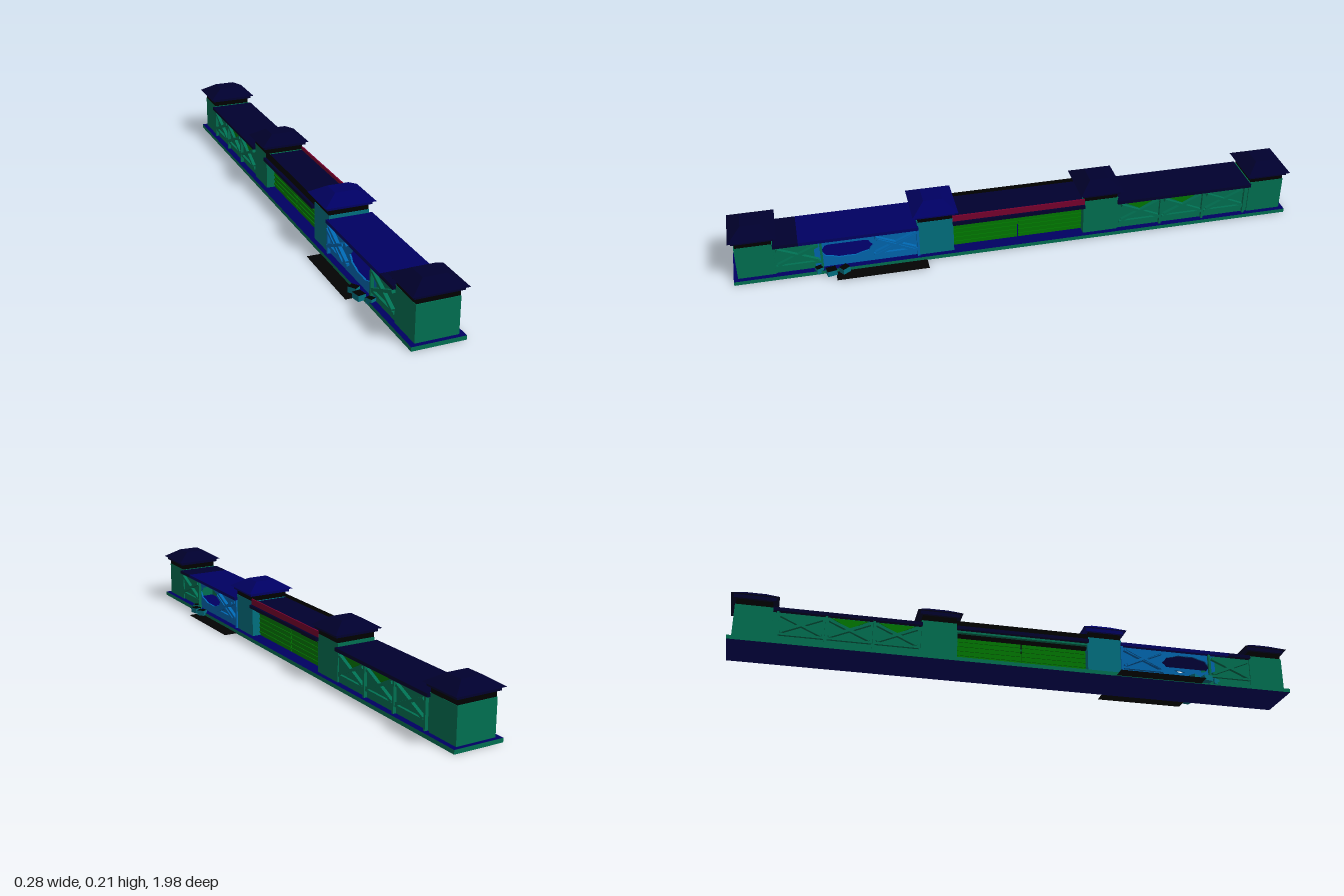
import * as THREE from 'three';

const mat = (name, color) => {
  const m = new THREE.MeshStandardMaterial({ color });
  m.name = name;
  return m;
};

export function createModel() {
  const teal = mat('teal wall', 0x007052);
  const blueWall = mat('blue wall', 0x0066b0);
  const cyan = mat('cyan stone', 0x007080);
  const green = mat('green panel', 0x007800);
  const navy = mat('navy roof', 0x00002e);
  const blue = mat('blue roof', 0x000062);
  const black = mat('black trim', 0x000000);
  const red = mat('red fascia', 0x78002e);
  const scorch = mat('scorched ground', 0x030303);
  scorch.side = THREE.DoubleSide;

  const root = new THREE.Group();
  root.name = 'longBuilding';

  const add = (name, geo, material, parent = root) => {
    const m = new THREE.Mesh(geo, material);
    m.name = name;
    parent.add(m);
    return m;
  };
  // box given by its limits on each axis
  const box = (name, material, x0, x1, y0, y1, z0, z1, parent = root) => {
    const m = add(name, new THREE.BoxGeometry(x1 - x0, y1 - y0, z1 - z0), material, parent);
    m.position.set((x0 + x1) / 2, (y0 + y1) / 2, (z0 + z1) / 2);
    return m;
  };
  // flat outline in (z, y), given thickness towards -x
  const sidePlate = (name, shape, thick, x, material) => {
    const g = new THREE.ExtrudeGeometry(shape, { depth: thick, bevelEnabled: false });
    g.rotateY(-Math.PI / 2);
    add(name, g, material).position.x = x;
  };
  const polygon = (pts) => new THREE.Shape(pts.map(([z, y]) => new THREE.Vector2(z, y)));

  // Base: teal edges, blue top and underside
  box('base', [teal, teal, blue, blue, teal, teal], -0.088, 0.088, 0, 0.014, -0.985, 0.995);

  // Towers with a dark neck, eave slab and hipped roof
  const tower = (z, depth, lift, wall, roof) => {
    const g = new THREE.Group();
    g.name = 'tower';
    g.position.z = z;
    root.add(g);
    const d = depth / 2;
    box('towerWall', wall, -0.071, 0.071, 0.014, 0.137 + lift, -d, d, g);
    box('towerNeck', black, -0.07, 0.07, 0.137 + lift, 0.157 + lift, -d + 0.003, d - 0.003, g);
    box('towerEave', roof, -0.08, 0.08, 0.157 + lift, 0.169 + lift, -d - 0.006, d + 0.006, g);
    const hip = new THREE.CylinderGeometry(0.42 * Math.SQRT2, Math.SQRT2, 1, 4).toNonIndexed();
    hip.rotateY(Math.PI / 4);
    hip.scale(0.09, 0.032, d + 0.016);
    hip.computeVertexNormals();
    add('towerRoof', hip, roof, g).position.y = 0.185 + lift;
  };
  tower(0.917, 0.127, 0, teal, navy);
  tower(0.305, 0.125, 0.01, cyan, blue);
  tower(-0.285, 0.125, 0.01, teal, navy);
  tower(-0.907, 0.127, 0, teal, navy);

  // Roofs of the two wings and the middle
  const longRoof = (material, z0, z1) =>
    box('longRoof', material, -0.082, 0.082, 0.123, 0.135, z0, z1);
  longRoof(navy, -0.845, -0.345);
  longRoof(navy, -0.225, 0.245);
  longRoof(navy, 0.77, 0.855);
  longRoof(blue, 0.365, 0.77);

  // Raised middle roof between a black and a red curb
  box('raisedRoof', navy, -0.068, 0.068, 0.135, 0.145, -0.225, 0.245);
  box('blackCurb', black, -0.072, -0.068, 0.135, 0.157, -0.225, 0.245);
  box('redFascia', red, 0.068, 0.073, 0.135, 0.157, -0.225, 0.245);

  // Wing wall with a ragged breach
  const breached = polygon([[0.37, 0.014], [0.72, 0.014], [0.72, 0.123], [0.37, 0.123]]);
  const rim = [];
  for (let i = 0; i < 20; i++) {
    const a = -i / 20 * Math.PI * 2;
    const r = i % 2 ? 0.96 : 1.04;
    rim.push(new THREE.Vector2(0.61 + 0.088 * r * Math.cos(a), 0.079 + 0.034 * r * Math.sin(a)));
  }
  breached.holes.push(new THREE.Path(rim));

  const stoneFaces = [cyan, cyan, black, cyan, cyan, cyan];
  for (const s of [-1, 1]) {
    const span = (a, b) => [Math.min(s * a, s * b), Math.max(s * a, s * b)];
    sidePlate('breachedWall', breached, 0.006, s > 0 ? 0.066 : -0.06, blueWall);
    box('wingWall', teal, ...span(0.06, 0.066), 0.014, 0.123, 0.72, 0.855);
    box('wingWall', teal, ...span(0.06, 0.066), 0.014, 0.123, -0.845, -0.345);

    // Crossed braces, posts and sill
    const bays = [[0.775, teal], [0.445, blueWall], [-0.43, teal], [-0.59, teal], [-0.75, teal]];
    for (const [z, material] of bays) {
      for (const t of [-1, 1]) {
        const brace = add('crossBrace', new THREE.BoxGeometry(0.012, 0.01, 0.15), material);
        brace.position.set(s * 0.072, 0.08, z);
        brace.rotation.x = t * 0.42;
      }
      box('bayPost', material, ...span(0.066, 0.077), 0.014, 0.123, z - 0.082, z - 0.074);
      box('baySill', material, ...span(0.066, 0.075), 0.038, 0.046, z - 0.08, z + 0.075);
      // green glazing above the crossing
      if (z < 0 && z > -0.7) {
        const pane = polygon([[z - 0.062, 0.121], [z, 0.088], [z + 0.062, 0.121]]);
        sidePlate('bayPane', pane, 0.003, s > 0 ? 0.0685 : -0.0655, green);
      }
    }

    // Loose brace thrown outward beside the breach
    for (const t of [-1, 1]) {
      const loose = add('looseBrace', new THREE.BoxGeometry(0.004, 0.009, 0.14), blueWall);
      loose.position.set(s * 0.0855, 0.079, 0.445);
      loose.rotation.x = t * 0.45;
    }

    // Fallen stones with charred tops
    for (const [x, z, w, turn] of [[0.1, 0.67, 0.028, 0.2], [0.097, 0.625, 0.025, 0.6],
      [0.08, 0.71, 0.02, 0.4]]) {
      const stone = add('fallenStone', new THREE.BoxGeometry(w, 0.02, w * 1.2), stoneFaces);
      stone.position.set(s * x, 0.015, z);
      stone.rotation.y = turn;
    }

    // Recessed central panels with slats
    for (const [z0, z1] of [[-0.225, 0.007], [0.012, 0.245]]) {
      box('centralPanel', green, ...span(0.034, 0.04), 0.014, 0.106, z0, z1);
      for (let i = 0; i < 5; i++)
        box('panelSlat', green, ...span(0.04, 0.043), 0.024 + i * 0.017, 0.03 + i * 0.017, z0, z1);
    }
    box('lintel', black, ...span(0.034, 0.055), 0.106, 0.116, -0.225, 0.245);
    box('lintelCap', teal, ...span(0.034, 0.068), 0.116, 0.123, -0.225, 0.245);
  }

  // Scorched ground patch
  const patch = add('scorchedGround', new THREE.PlaneGeometry(0.276, 0.315), scorch);
  patch.rotation.x = -Math.PI / 2;
  patch.position.set(0, 0.002, 0.4975);

  return root;
}
